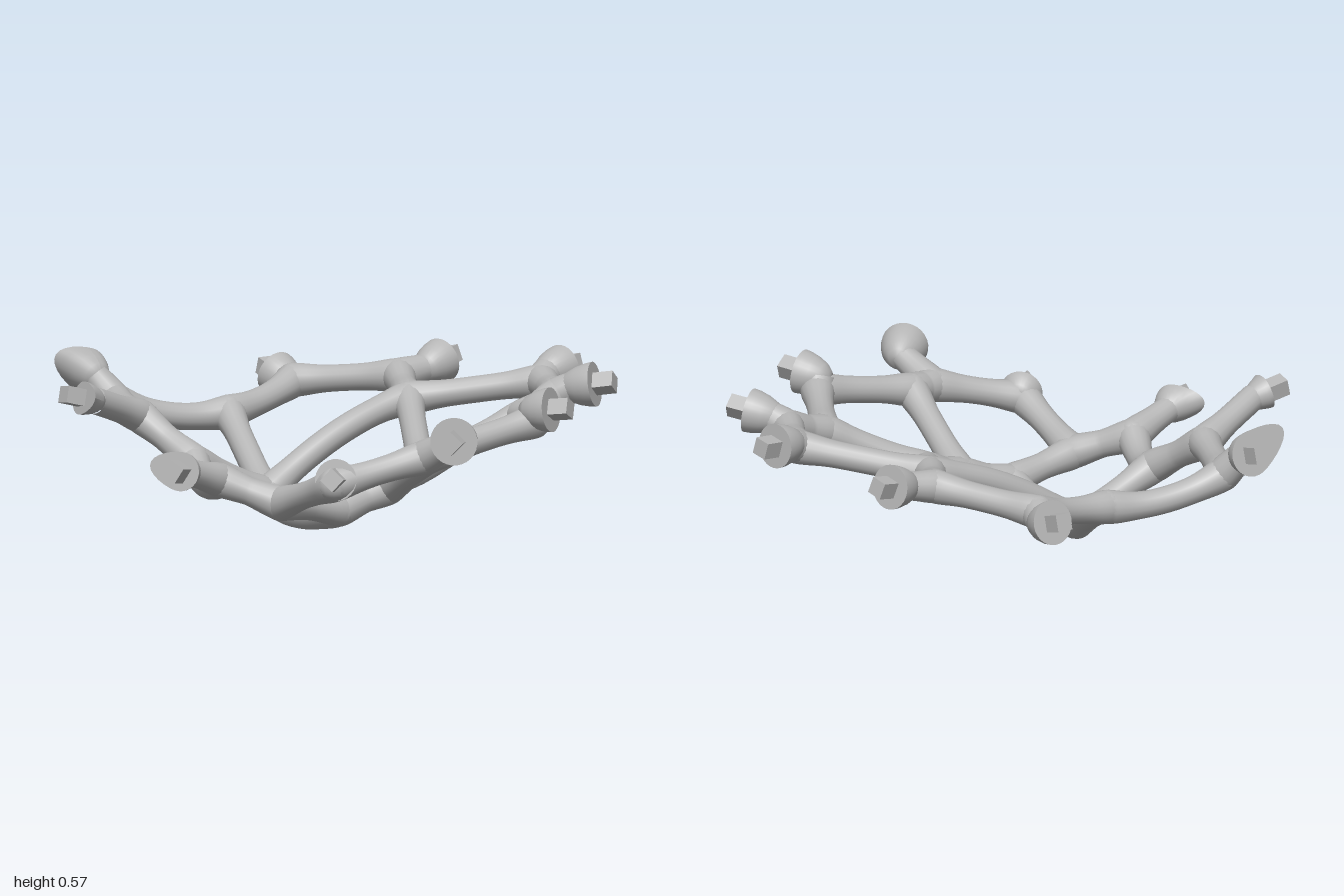
import * as THREE from 'three';

const R = 0.048;
const V = (a) => new THREE.Vector3(...a);

// Lattice junctions
const nodes = {
  A: [-0.43, 0.38, -0.79], B: [0, 0.31, -0.69], C: [0.35, 0.38, -0.77],
  D: [-0.57, 0.38, -0.46], E: [-0.5, 0.24, -0.24], F: [-0.18, 0.09, -0.23],
  G: [0.43, 0.38, -0.2], H: [0.56, 0.42, -0.43], I: [-0.65, 0.23, 0.11],
  J: [-0.5, 0.15, 0.27], K: [-0.22, 0.1, 0.25], L: [-0.02, 0.16, 0.27],
  M: [0.15, 0.22, 0.24], N: [0.77, 0.45, 0.13], O: [0.66, 0.44, 0.36],
  P: [0.48, 0.38, 0.39], Q: [-0.51, 0.26, 0.6], R: [-0.19, 0.34, 0.7],
  S: [-0.08, 0.35, 0.67], T: [0.31, 0.42, 0.69],
};

// Struts between junctions; some sag or bow by the given offset at mid-span
const struts = [
  ['AB', [0, -0.035, 0]], ['BC', [0, -0.01, 0.015]], ['AD'], ['DE'], ['EF'],
  ['FG', [0, 0.045, 0]], ['BF'], ['CH'], ['HG'],
  ['EI', [0, -0.05, 0]], ['IJ'], ['JK'], ['FK', [-0.02, -0.045, 0]], ['KL'], ['LM'],
  ['GM'], ['GN'], ['NO'], ['OP'], ['MP'], ['JQ'], ['QR'], ['RS'],
  ['SL'], ['ST'], ['TP'],
];

// End sockets: junction, face centre, face direction, radius, depth, lip stretch
const sockets = [
  ['A', [-0.47, 0.48, -0.91], [0.03, 0.25, -0.95], 0.08, 0.1, [-0.07, 0.035, 0]],
  ['C', [0.38, 0.385, -0.91], [0, 0.28, -0.95], 0.08, 0.12],
  ['D', [-0.89, 0.485, -0.38], [-0.95, 0.25, -0.15], 0.06, 0.09, [0.01, 0, 0.04]],
  ['H', [0.755, 0.455, -0.435], [0.95, 0.2, -0.25], 0.08, 0.13],
  ['I', [-0.875, 0.29, 0.18], [-0.86, 0.15, 0.5], 0.07, 0.09, [-0.03, 0.01, -0.04]],
  ['N', [0.89, 0.485, 0.095], [0.97, 0.12, -0.2], 0.08, 0.13],
  ['O', [0.745, 0.485, 0.475], [0.58, 0.15, 0.8], 0.08, 0.13],
  ['Q', [-0.515, 0.28, 0.615], [-0.74, 0.15, 0.66], 0.075, 0.07],
  ['R', [-0.21, 0.425, 0.905], [-0.72, 0.04, 0.69], 0.085, 0.13],
  ['T', [0.33, 0.47, 0.765], [0.48, 0.12, 0.87], 0.08, 0.12],
];

// Tube that widens smoothly into the junctions at its ends
function strut(a, b, bow, flareEnd) {
  const mid = a.clone().add(b).multiplyScalar(0.5).addScaledVector(bow, 2);
  const curve = new THREE.QuadraticBezierCurve3(a, mid, b);
  const length = curve.getLength();
  const segs = 24, sides = 16;
  const geo = new THREE.TubeGeometry(curve, segs, R, sides);
  const pos = geo.attributes.position;
  const p = new THREE.Vector3();
  for (let i = 0; i < pos.count; i++) {
    const t = Math.floor(i / (sides + 1)) / segs;
    const c = curve.getPointAt(t);
    const d = (flareEnd ? Math.min(t, 1 - t) : t) * length;
    const k = 1 + 0.27 * Math.exp(-Math.pow(d / 0.085, 2));
    p.fromBufferAttribute(pos, i).sub(c).multiplyScalar(k).add(c);
    pos.setXYZ(i, p.x, p.y, p.z);
  }
  geo.computeVertexNormals();
  // Weld the normals along the tube seam
  const n = geo.attributes.normal;
  for (let r = 0; r <= segs; r++) {
    const i = r * (sides + 1), j = i + sides;
    p.fromBufferAttribute(n, i).add(new THREE.Vector3().fromBufferAttribute(n, j)).normalize();
    n.setXYZ(i, p.x, p.y, p.z);
    n.setXYZ(j, p.x, p.y, p.z);
  }
  return geo;
}

// Pull one side of a socket's rim outwards into a pointed lip
function stretchLip(geo, lip, radius, depth) {
  const dir = lip.clone().normalize();
  const pos = geo.attributes.position;
  const p = new THREE.Vector3();
  for (let i = 0; i < pos.count; i++) {
    p.fromBufferAttribute(pos, i);
    const side = Math.max(0, p.dot(dir) / radius);
    const near = Math.max(0, 1 + p.y / depth);
    p.addScaledVector(lip, side * side * near * near);
    pos.setXYZ(i, p.x, p.y, p.z);
  }
  geo.computeVertexNormals();
}

export function createModel() {
  const group = new THREE.Group();
  const grey = new THREE.MeshStandardMaterial({ color: 0xb6b6b6 });
  grey.name = 'grey';
  const add = (parent, name, geo) => {
    const mesh = new THREE.Mesh(geo, grey);
    mesh.name = name;
    parent.add(mesh);
    return mesh;
  };

  // Lattice struts
  for (const [ends, bow = [0, 0, 0]] of struts) {
    add(group, 'strut', strut(V(nodes[ends[0]]), V(nodes[ends[1]]), V(bow), true));
  }

  // Rounded junctions
  for (const key in nodes) {
    add(group, 'junction', new THREE.SphereGeometry(R * 1.27, 20, 14)).position.copy(V(nodes[key]));
  }

  // Necks with a domed socket, flat face and square peg
  for (const [key, centre, direction, r, depth, lip] of sockets) {
    const face = V(centre), n = V(direction).normalize();
    const base = face.clone().addScaledVector(n, -depth * 0.6);
    add(group, 'neck', strut(V(nodes[key]), base, new THREE.Vector3(), false));

    const socket = new THREE.Group();
    socket.name = 'socket';
    socket.position.copy(face);
    socket.quaternion.setFromUnitVectors(new THREE.Vector3(0, 1, 0), n);
    group.add(socket);

    const profile = [[0, -1], [0.4, -0.94], [0.66, -0.75], [0.86, -0.46], [0.97, -0.18], [1, 0]]
      .map(([x, y]) => new THREE.Vector2(x * r, y * depth));
    const dome = new THREE.LatheGeometry(profile, 28);
    const disc = new THREE.CircleGeometry(r, 28).rotateX(-Math.PI / 2);
    if (lip) {
      const local = V(lip).applyQuaternion(socket.quaternion.clone().invert());
      local.y = 0;
      stretchLip(dome, local, r, depth);
      stretchLip(disc, local, r, depth);
    }
    add(socket, 'socketDome', dome);
    add(socket, 'socketFace', disc);
    add(socket, 'peg', new THREE.BoxGeometry(0.06, 0.1, 0.06)).position.y = 0.025;
  }
  return group;
}
